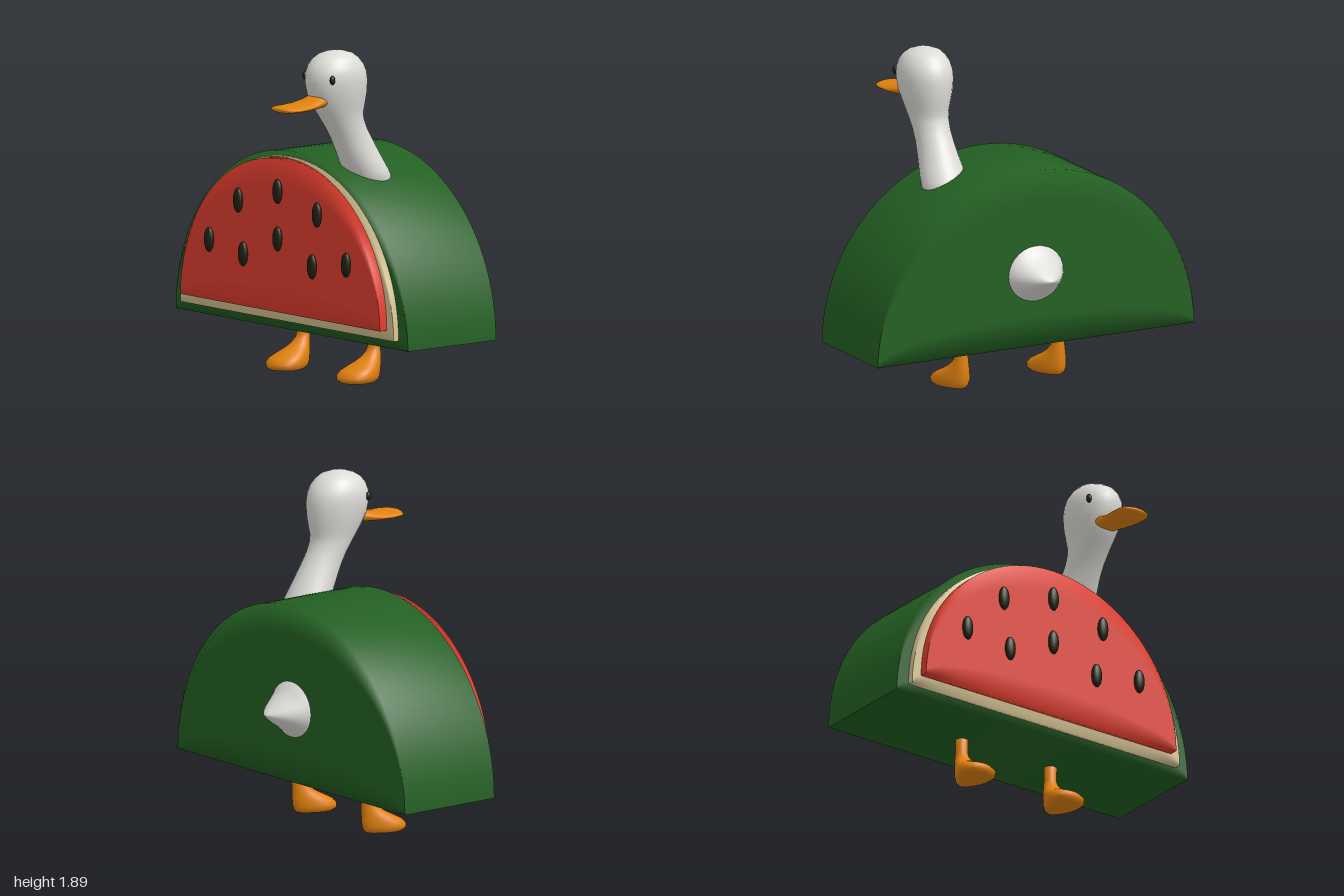
import * as THREE from 'three';
import { mergeVertices } from 'three/addons/utils/BufferGeometryUtils.js';

const material = (name, color) => Object.assign(new THREE.MeshStandardMaterial({ color }), { name });

// Share vertices so normals run smoothly over the whole surface
function smooth(geometry) {
  geometry.deleteAttribute('normal');
  geometry.deleteAttribute('uv');
  geometry.clearGroups();
  const merged = mergeVertices(geometry, 1e-4);
  merged.computeVertexNormals();
  return merged;
}

// Closed skin over oval rings [y, zFront, zBack, halfWidth, frontWidening]
function loft(rings, sides = 28) {
  const first = rings[0], last = rings[rings.length - 1];
  const cap = ([y, f, b]) => [y, (f + b) / 2, (f + b) / 2, 0];
  const all = [cap(first), ...rings, cap(last)];
  const position = [], index = [];
  for (const [y, f, b, w, k = 0] of all) {
    for (let j = 0; j < sides; j++) {
      const a = (j / sides) * Math.PI * 2;
      const widen = (1 + k * Math.sin(a)) / (1 + k * k);
      position.push(w * Math.cos(a) * widen, y, (f + b) / 2 + ((f - b) / 2) * Math.sin(a));
    }
  }
  for (let i = 0; i < all.length - 1; i++) {
    for (let j = 0; j < sides; j++) {
      const p = i * sides + j, q = i * sides + ((j + 1) % sides);
      index.push(p, p + sides, q, q, p + sides, q + sides);
    }
  }
  const geometry = new THREE.BufferGeometry();
  geometry.setAttribute('position', new THREE.Float32BufferAttribute(position, 3));
  geometry.setIndex(index);
  return smooth(geometry);
}

// Half disc standing on its straight edge: a box whose top is bent to an arc
function halfDisc(radius, base, zBack, zFront) {
  const geometry = new THREE.BoxGeometry(1, 1, 1, 56, 6, 1);
  const p = geometry.attributes.position;
  for (let i = 0; i < p.count; i++) {
    const t = (p.getX(i) + 0.5) * Math.PI;
    p.setXYZ(i, -radius * Math.cos(t), base + (p.getY(i) + 0.5) * radius * Math.sin(t),
      p.getZ(i) > 0 ? zFront : zBack);
  }
  return smooth(geometry);
}

export function createModel() {
  const model = new THREE.Group();
  model.name = 'melonDuck';
  const green = material('rindGreen', 0x236023);
  const cream = material('rindCream', 0xd8c594);
  const red = material('fleshRed', 0xe03d2e);
  const dark = material('seedBlack', 0x1f2012);
  const white = material('featherWhite', 0xdddcd7);
  const orange = material('beakOrange', 0xe2820f);

  const add = (name, geometry, mat, x = 0, y = 0, z = 0) => {
    const mesh = new THREE.Mesh(geometry, mat);
    mesh.name = name;
    mesh.position.set(x, y, z);
    model.add(mesh);
    return mesh;
  };

  // Melon slice body
  add('rind', halfDisc(1, 0.28, -0.43, 0.205), green);
  add('innerRind', halfDisc(0.92, 0.33, 0.19, 0.24), cream);
  add('flesh', halfDisc(0.86, 0.385, 0.23, 0.29), red);

  // Seeds
  const ball = new THREE.SphereGeometry(1, 20, 14);
  const seeds = [[0, 1.065], [0, 0.8], [-0.34, 0.975], [0.34, 0.975],
    [-0.59, 0.725], [0.59, 0.725], [-0.297, 0.68], [0.297, 0.68]];
  for (const [x, y] of seeds) add('seed', ball, dark, x, y, 0.31).scale.set(0.033, 0.07, 0.023);

  // Neck and head in one skin
  const headX = 0.36;
  add('neckAndHead', loft([
    [1.08, 0.04, -0.21, 0.142], [1.2, 0.105, -0.15, 0.13], [1.26, 0.135, -0.115, 0.12],
    [1.32, 0.165, -0.08, 0.11], [1.38, 0.195, -0.045, 0.103], [1.44, 0.23, -0.01, 0.101],
    [1.5, 0.272, 0.015, 0.106], [1.54, 0.3, 0.018, 0.113], [1.58, 0.328, 0.01, 0.123],
    [1.65, 0.362, 0, 0.141], [1.72, 0.377, -0.002, 0.15], [1.77, 0.374, 0.006, 0.147],
    [1.81, 0.358, 0.025, 0.136], [1.845, 0.33, 0.055, 0.115], [1.87, 0.29, 0.09, 0.088],
    [1.885, 0.245, 0.14, 0.046], [1.89, 0.21, 0.175, 0.015],
  ]), white, headX);

  // Eyes
  for (const side of [-1, 1]) {
    add('eye', ball, dark, headX + side * 0.118, 1.745, 0.312).scale.set(0.014, 0.025, 0.016);
  }

  // Beak, lofted forwards: [z, -bottom, -top, halfWidth]
  add('beak', loft([
    [0.28, -1.585, -1.655, 0.07], [0.34, -1.578, -1.655, 0.08], [0.38, -1.575, -1.638, 0.086],
    [0.44, -1.573, -1.622, 0.095], [0.51, -1.573, -1.615, 0.102], [0.56, -1.575, -1.613, 0.1],
    [0.59, -1.578, -1.612, 0.083], [0.605, -1.582, -1.609, 0.055], [0.612, -1.59, -1.602, 0.025],
  ]).rotateX(Math.PI / 2), orange, headX);

  // Tail, lofted backwards: [-z, top, bottom, halfWidth]
  add('tail', loft([
    [0.38, 0.89, 0.49, 0.2], [0.43, 0.85, 0.535, 0.173], [0.46, 0.81, 0.565, 0.157],
    [0.5, 0.775, 0.595, 0.13], [0.54, 0.748, 0.622, 0.099], [0.575, 0.722, 0.648, 0.066],
    [0.6, 0.703, 0.667, 0.036], [0.613, 0.692, 0.678, 0.014],
  ]).rotateX(-Math.PI / 2), white);

  // Legs with webbed feet
  const leg = loft([
    [0.3, -0.096, -0.165, 0.037], [0.2, -0.097, -0.167, 0.035], [0.17, -0.086, -0.168, 0.04],
    [0.14, -0.058, -0.169, 0.051, 0.1], [0.115, -0.02, -0.169, 0.066, 0.2],
    [0.09, 0.03, -0.169, 0.088, 0.3], [0.065, 0.078, -0.167, 0.107, 0.35],
    [0.04, 0.102, -0.163, 0.115, 0.35], [0.018, 0.102, -0.155, 0.11, 0.35],
    [0.004, 0.085, -0.14, 0.092, 0.35], [0, 0.05, -0.11, 0.06, 0.3],
  ].reverse());
  for (const side of [-1, 1]) add('leg', leg, orange, side * 0.305);

  return model;
}
